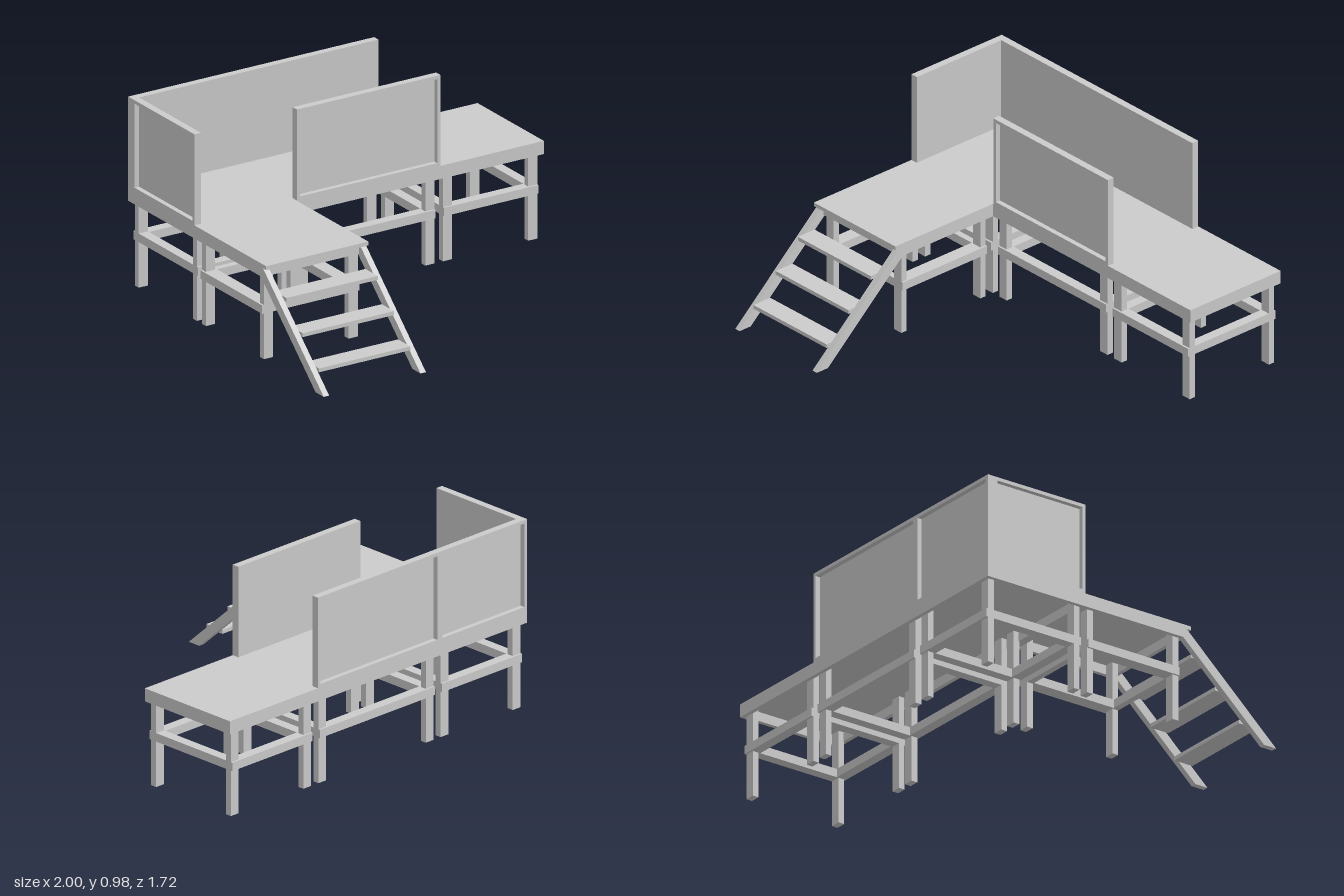
import * as THREE from 'three';

const material = new THREE.MeshStandardMaterial({ color: 0xcccccc });

// Box given by its extents on each axis
function box(parent, name, [x0, x1], [y0, y1], [z0, z1]) {
  const mesh = new THREE.Mesh(new THREE.BoxGeometry(x1 - x0, y1 - y0, z1 - z0), material);
  mesh.position.set((x0 + x1) / 2, (y0 + y1) / 2, (z0 + z1) / 2);
  mesh.name = name;
  parent.add(mesh);
  return mesh;
}

function group(parent, name) {
  const g = new THREE.Group();
  g.name = name;
  parent.add(g);
  return g;
}

const DECK = 0.505, PLATE = 0.485, RIM = 0.437, T = 0.022;

// Hollow rim of joists beneath the deck boards
function joistFrame(parent, name, [x0, x1], [z0, z1]) {
  const g = group(parent, name);
  const y = [RIM, PLATE];
  box(g, 'backJoist', [x0, x1], y, [z0, z0 + T]);
  box(g, 'frontJoist', [x0, x1], y, [z1 - T, z1]);
  box(g, 'rightJoist', [x0, x0 + T], y, [z0 + T, z1 - T]);
  box(g, 'leftJoist', [x1 - T, x1], y, [z0 + T, z1 - T]);
}

// Four legs tied by rails; the through rails run along x or z
function trestle(parent, name, [x0, x1], [z0, z1], along) {
  const g = group(parent, name);
  const W = 0.053, D = 0.034, P = 0.01, y = [0.236, 0.28];
  const xs = [[x0, x0 + W], [x1 - W, x1]];
  const zs = [[z0, z0 + D], [z1 - D, z1]];
  for (const lx of xs) for (const lz of zs) box(g, 'leg', lx, [0, PLATE], lz);
  if (along === 'x') {
    for (const [a, b] of zs) box(g, 'throughRail', [x0, x1], y, [a - P, b + P]);
    for (const lx of xs) box(g, 'crossRail', lx, y, [z0 + D + P, z1 - D - P]);
  } else {
    for (const [a, b] of xs) box(g, 'throughRail', [a - P, b + P], y, [z0, z1]);
    for (const lz of zs) box(g, 'crossRail', [x0 + W + P, x1 - W - P], y, lz);
  }
}

// Sheet with a raised border; the border faces local +z and the sheet is behind it
function wallPanel(parent, name, width, x, z, turn) {
  const g = group(parent, name);
  const h = 0.975 - DECK, b = 0.018, depth = 0.038, sheet = 0.012;
  const w = width / 2;
  box(g, 'sheet', [-w, w], [0, h], [-depth, sheet - depth]);
  const d = [sheet - depth, 0];
  box(g, 'bottomBorder', [-w, w], [0, b], d);
  box(g, 'topBorder', [-w, w], [h - b, h], d);
  for (const s of [-w, w - b]) box(g, 'sideBorder', [s, s + b], [b, h - b], d);
  g.position.set(x, DECK, z);
  g.rotation.y = turn;
}

export function createModel() {
  const model = new THREE.Group();
  model.name = 'platform';

  // L-shaped deck
  const deck = group(model, 'deck');
  box(deck, 'mainBoards', [-1, 1], [PLATE, DECK], [-0.86, -0.277]);
  box(deck, 'landingBoards', [-1, -0.415], [PLATE, DECK], [-0.277, 0.353]);
  joistFrame(deck, 'mainJoists', [-1, 1], [-0.86, -0.277]);
  joistFrame(deck, 'landingJoists', [-1, -0.415], [-0.277, 0.318]);

  // Supports
  const zMain = [-0.84, -0.295];
  trestle(model, 'cornerTrestle', [-0.975, -0.437], zMain, 'x');
  trestle(model, 'middleTrestle', [-0.39, 0.386], zMain, 'x');
  trestle(model, 'endTrestle', [0.434, 0.975], zMain, 'x');
  trestle(model, 'landingTrestle', [-0.975, -0.437], [-0.249, 0.295], 'z');

  // Walls, bordered on their outer faces
  wallPanel(model, 'backCornerWall', 0.587, -0.7065, -0.86, Math.PI);
  wallPanel(model, 'backWall', 0.821, -0.0025, -0.86, Math.PI);
  wallPanel(model, 'frontWall', 0.821, -0.0025, -0.277, 0);
  wallPanel(model, 'sideWall', 0.545, -1, -0.5495, -Math.PI / 2);

  // Stairs: sloped stringers and three treads
  const stairs = group(model, 'stairs');
  const profile = new THREE.Shape(
    [[-0.86, 0], [-0.788, 0], [-0.302, 0.44], [-0.302, PLATE], [-0.326, PLATE]]
      .map(([a, b]) => new THREE.Vector2(a, b)));
  const stringer = new THREE.ExtrudeGeometry(profile, { depth: 0.031, bevelEnabled: false });
  stringer.rotateY(Math.PI / 2);
  for (const x of [-1, -0.446]) {
    const mesh = new THREE.Mesh(stringer, material);
    mesh.name = 'stringer';
    mesh.position.x = x;
    stairs.add(mesh);
  }
  for (let i = 0; i < 3; i++) {
    const y = 0.09 + i * 0.134, z = 0.662 - i * 0.143;
    box(stairs, 'tread', [-0.969, -0.446], [y, y + 0.02], [z, z + 0.108]);
  }
  return model;
}
